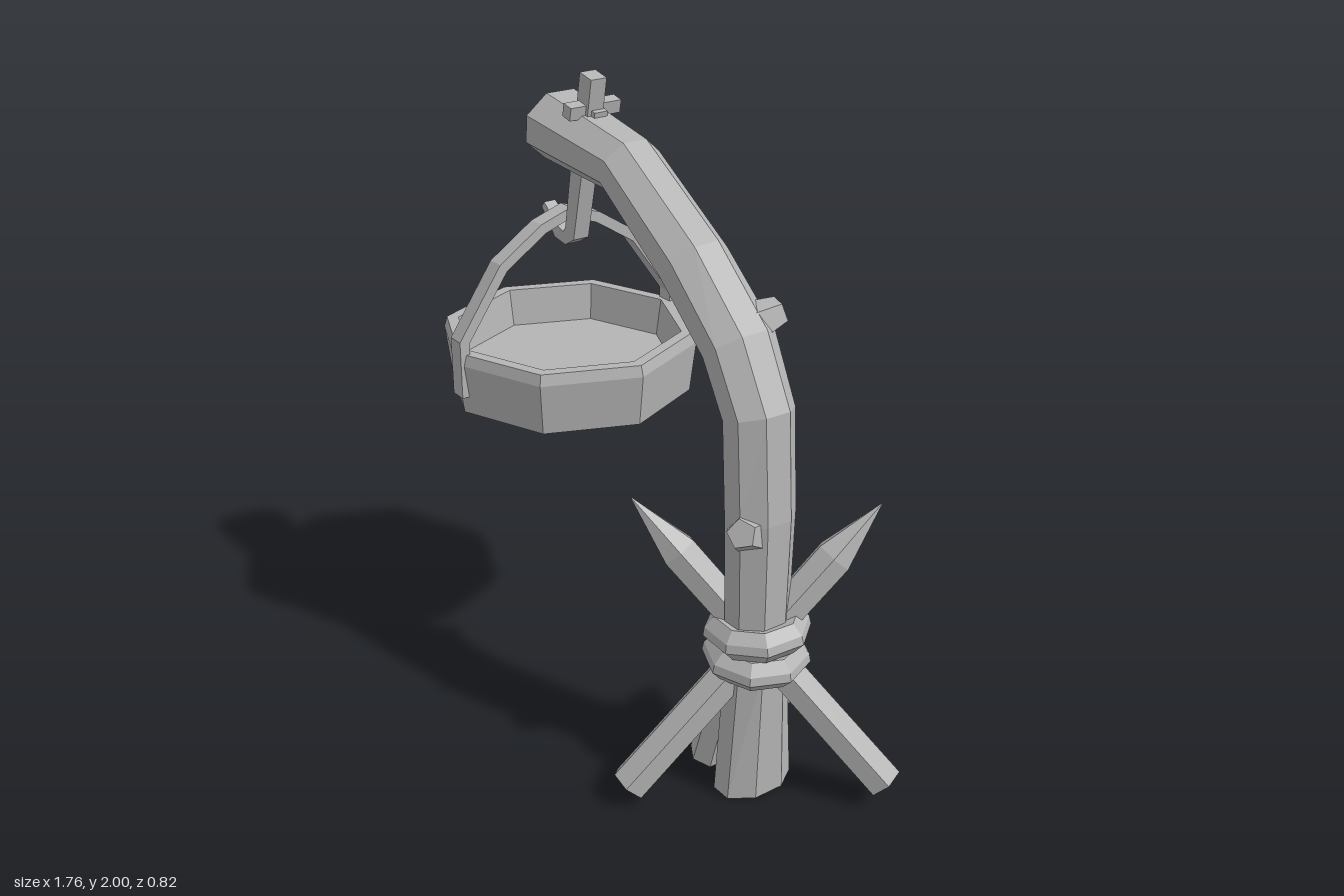
import * as THREE from 'three';

const V = (x, y, z) => new THREE.Vector3(x, y, z);

// Sweeps a polygon along a path. sizes: [half height, half width] per point,
// ref: direction the width runs along, endPush: moves the last cap's centre.
function sweep(path, sizes, ref, sides, endPush = 0) {
  const pts = path.map((p) => V(...p));
  const n = pts.length;
  const grow = 1 / Math.cos(Math.PI / sides);
  let t;
  const rings = pts.map((p, i) => {
    const tin = pts[i].clone().sub(pts[Math.max(i - 1, 0)]).normalize();
    const tout = pts[Math.min(i + 1, n - 1)].clone().sub(p).normalize();
    t = tin.add(tout).normalize();
    const up = V(...ref).cross(t).normalize();
    const side = t.clone().cross(up);
    return Array.from({ length: sides }, (_, j) => {
      const a = ((j + 0.5) / sides) * Math.PI * 2;
      return p.clone()
        .addScaledVector(up, Math.cos(a) * sizes[i][0] * grow)
        .addScaledVector(side, Math.sin(a) * sizes[i][1] * grow);
    });
  });
  const out = [];
  const tri = (...v) => v.forEach((p) => out.push(p.x, p.y, p.z));
  const endCentre = pts[n - 1].clone().addScaledVector(t, endPush);
  for (let j = 0; j < sides; j++) {
    const k = (j + 1) % sides;
    for (let i = 0; i < n - 1; i++) {
      tri(rings[i][j], rings[i][k], rings[i + 1][k]);
      tri(rings[i][j], rings[i + 1][k], rings[i + 1][j]);
    }
    tri(pts[0], rings[0][k], rings[0][j]);
    tri(endCentre, rings[n - 1][j], rings[n - 1][k]);
  }
  const g = new THREE.BufferGeometry();
  g.setAttribute('position', new THREE.Float32BufferAttribute(out, 3));
  g.computeVertexNormals();
  return g;
}

export function createModel() {
  const model = new THREE.Group();
  const grey = new THREE.MeshStandardMaterial({ color: 0xb4b4b4, flatShading: true });
  grey.name = 'plain grey';
  const add = (name, geometry) => {
    const mesh = new THREE.Mesh(geometry, grey);
    mesh.name = name;
    model.add(mesh);
    return mesh;
  };

  // Curved trunk, from the ground up to the notched end of the arm
  add('curvedTrunk', sweep(
    [[0.52, 0, 0], [0.52, 0.45, 0], [0.52, 0.92, 0], [0.495, 1.22, -0.005], [0.395, 1.39, -0.01],
      [0.2, 1.57, 0], [-0.11, 1.768, 0], [-0.495, 1.805, -0.01]],
    [[0.08, 0.12], [0.08, 0.09], [0.085, 0.1], [0.085, 0.1], [0.085, 0.105],
      [0.09, 0.1], [0.085, 0.095], [0.102, 0.115]],
    [0, 0, 1], 8, -0.06));

  // Cut-off branch stubs
  add('upperStub', sweep([[0.38, 1.43, -0.05], [0.405, 1.46, -0.145]],
    [[0.055, 0.055], [0.035, 0.035]], [1, 0, 0], 5));
  add('lowerStub', sweep([[0.53, 0.88, 0.04], [0.58, 0.92, 0.115]],
    [[0.055, 0.055], [0.035, 0.035]], [0, 1, 0], 5));

  // Sharpened stakes crossing through the binding
  const stake = (name, foot, tip) => {
    const at = (f) => foot.map((v, i) => v + (tip[i] - v) * f);
    add(name, sweep([foot, at(0.5), at(0.82), tip],
      [[0.052, 0.052], [0.05, 0.05], [0.052, 0.052], [0.002, 0.002]], [0, 1, 0], 6));
  };
  stake('leftStake', [0.83, 0.075, -0.25], [0.22, 0.91, 0.23]);
  stake('frontStake', [0.385, 0.06, 0.36], [0.65, 0.9, -0.34]);

  // Props that end inside the binding
  const prop = (name, foot, top, r) =>
    add(name, sweep([foot, top], [[r, r], [r * 0.85, r * 0.85]], [0, 0, 1], 6));
  prop('backProp', [0.295, 0.07, -0.28], [0.51, 0.5, -0.02], 0.052);
  prop('innerProp', [0.39, 0.045, 0.07], [0.49, 0.48, 0.04], 0.05);
  prop('innerBackProp', [0.39, 0.045, -0.06], [0.49, 0.48, -0.04], 0.05);

  // Two binding rings, slightly tilted
  const ringProfile = [[0.07, -0.03], [0.125, -0.05], [0.16, -0.012], [0.155, 0.015], [0.125, 0.047], [0.07, 0.03]]
    .map((p) => new THREE.Vector2(...p));
  [[0.455, 0.04, 0], [0.545, -0.06, 0.3]].forEach(([y, tilt, turn], i) => {
    const ring = add(i ? 'upperBinding' : 'lowerBinding', new THREE.LatheGeometry(ringProfile, 8));
    ring.position.set(0.515, y, -0.005);
    ring.rotation.set(0, turn, -tilt);
  });

  // Hook pushed through the arm, held by a cross pin
  add('hook', sweep(
    [[-0.29, 1.995, 0], [-0.35, 1.7, 0], [-0.395, 1.49, 0], [-0.425, 1.467, 0], [-0.475, 1.475, 0], [-0.555, 1.54, 0]],
    [[0.03, 0.027], [0.03, 0.027], [0.027, 0.027], [0.02, 0.027], [0.022, 0.025], [0.012, 0.02]],
    [0, 0, 1], 4));
  const pin = add('crossPin', new THREE.BoxGeometry(0.04, 0.04, 0.175));
  pin.position.set(-0.312, 1.893, -0.008);
  pin.rotation.z = -0.2;
  const shortPin = add('pinPeg', new THREE.BoxGeometry(0.09, 0.03, 0.045));
  shortPin.position.set(-0.31, 1.885, -0.008);
  shortPin.rotation.z = -0.2;

  // Eight-sided bowl with raised rim
  const bowlProfile = [[0, 0.96], [0.39, 0.96], [0.41, 1.125], [0.4, 1.16], [0.362, 1.16], [0.343, 1.04], [0, 1.04]]
    .map((p) => new THREE.Vector2(...p));
  add('bowl', new THREE.LatheGeometry(bowlProfile, 8)).position.set(-0.467, 0, -0.008);

  // Bent carrying handle, mirrored front to back
  const half = [[0.392, 1.02], [0.392, 1.2], [0.245, 1.41], [0.1, 1.505]];
  const arc = [...half, [0, 1.538], ...half.map(([z, y]) => [-z, y]).reverse()];
  add('handle', sweep(arc.map(([z, y]) => [-0.467, y, z - 0.008]),
    arc.map(() => [0.017, 0.028]), [1, 0, 0], 4));

  return model;
}
